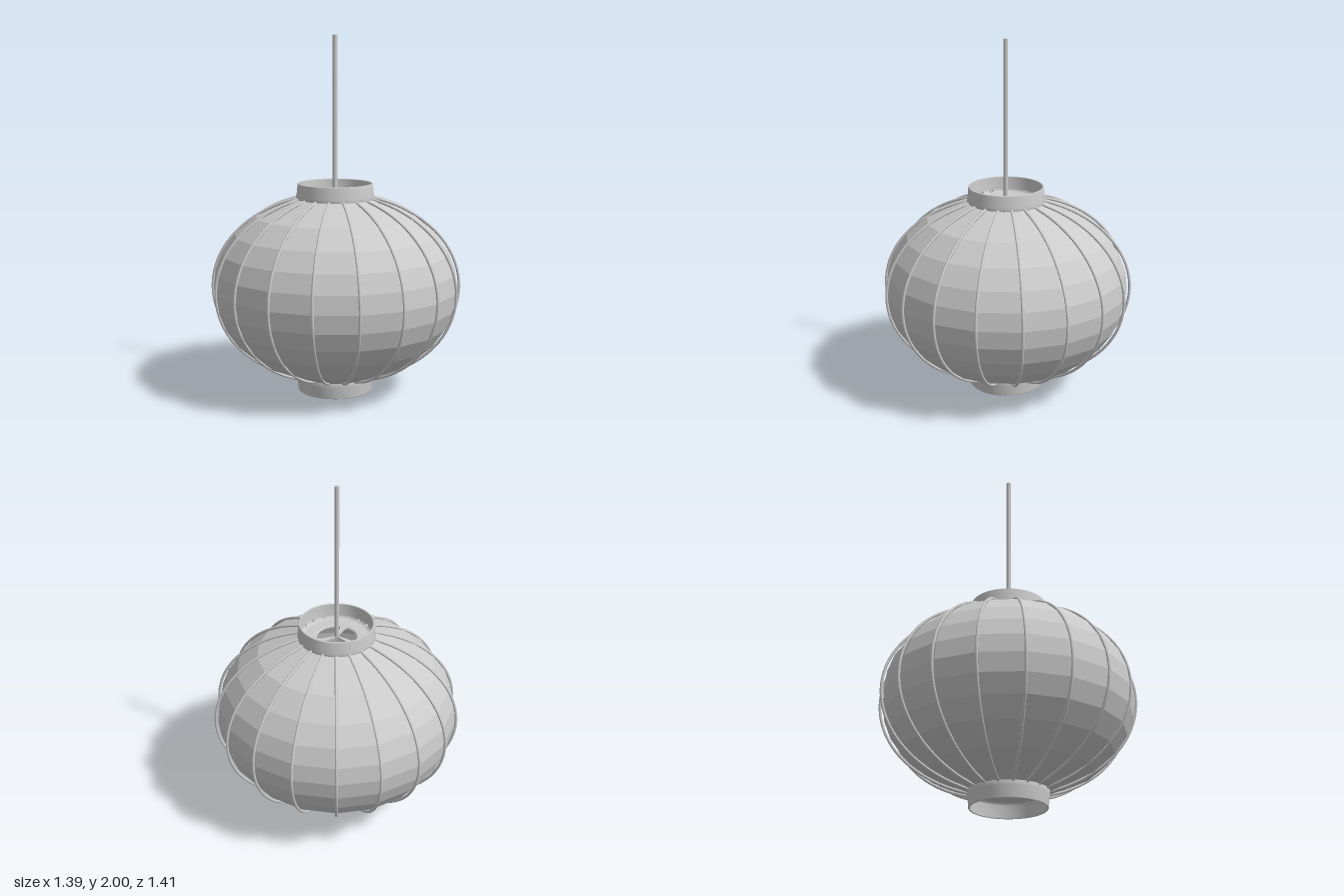
import * as THREE from 'three';

const RIBS = 18;
const MID = 0.595; // height of the lantern's widest point
const AXIS = -0.01; // the shade, collars and rod sit slightly off the ribs' axis

// Radius of the lantern's elliptical outline at height y
const bulge = (y, rMax) => rMax * Math.sqrt(1 - ((y - MID) / 0.532) ** 2);

export function createModel() {
  const group = new THREE.Group();
  const smooth = new THREE.MeshStandardMaterial({ color: 0xcccccc, side: THREE.DoubleSide });
  const flat = new THREE.MeshStandardMaterial({ color: 0xcccccc, side: THREE.DoubleSide, flatShading: true });
  const add = (geometry, material, name, x = AXIS, y = 0) => {
    const mesh = new THREE.Mesh(geometry, material);
    mesh.name = name;
    mesh.position.set(x, y, 0);
    group.add(mesh);
    return mesh;
  };

  // Faceted shade, one panel between each pair of ribs
  const profile = [];
  for (let i = 0; i <= 10; i++) {
    const y = 0.09 + i * 0.101;
    profile.push(new THREE.Vector2(bulge(y, 0.688), y));
  }
  add(new THREE.LatheGeometry(profile, RIBS), flat, 'shade');

  // Wire ribs, bent inwards at both ends to enter the collars
  const path = [new THREE.Vector3(0, 0.082, 0.192)];
  for (let i = 0; i <= 16; i++) {
    const a = (-0.5 + i / 16) * 2.5;
    path.push(new THREE.Vector3(0, MID + 0.532 * Math.sin(a), 0.697 * Math.cos(a)));
  }
  path.push(new THREE.Vector3(0, 1.108, 0.192));
  const ribGeometry = new THREE.TubeGeometry(new THREE.CatmullRomCurve3(path), 48, 0.008, 8);
  for (let i = 0; i < RIBS; i++) {
    add(ribGeometry, smooth, 'rib', -0.003).rotation.y = (i / RIBS) * Math.PI * 2;
  }

  // Collar: thin flared wall with a rounded rim and a dished inner plate
  const collarProfile = [
    [0.11, -0.008], [0.165, -0.008], [0.19, -0.012], [0.21, -0.012], [0.218, 0],
    [0.218, 0.025], [0.214, 0.045], [0.211, 0.088], [0.208, 0.092], [0.203, 0.092],
    [0.201, 0.088], [0.201, 0.02], [0.194, 0.007], [0.18, 0.001], [0.165, 0.003],
    [0.12, 0.004], [0.11, 0], [0.11, -0.008],
  ].map(([r, y]) => new THREE.Vector2(r, y));
  const collarGeometry = new THREE.LatheGeometry(collarProfile, 48);
  add(collarGeometry, smooth, 'topCollar', AXIS, 1.093);
  const bottomCollar = add(collarGeometry, smooth, 'bottomCollar', AXIS, 0.092);
  bottomCollar.rotation.x = Math.PI;

  // Three tapered spokes joining the top plate to the rod
  const spoke = new THREE.Shape();
  spoke.moveTo(0.006, -0.005);
  spoke.lineTo(0.085, -0.013);
  spoke.quadraticCurveTo(0.105, -0.016, 0.114, -0.035);
  spoke.lineTo(0.114, 0.035);
  spoke.quadraticCurveTo(0.105, 0.016, 0.085, 0.013);
  spoke.lineTo(0.006, 0.005);
  const spokeGeometry = new THREE.ExtrudeGeometry(spoke, { depth: 0.01, bevelEnabled: false, curveSegments: 6 });
  spokeGeometry.rotateX(-Math.PI / 2);
  for (const angle of [82, 188, -34]) {
    add(spokeGeometry, smooth, 'spoke', AXIS, 1.086).rotation.y = THREE.MathUtils.degToRad(angle);
  }

  // Hanging rod
  add(new THREE.CylinderGeometry(0.013, 0.013, 0.915, 16), smooth, 'hangingRod', AXIS - 0.002, 1.5425);

  return group;
}
